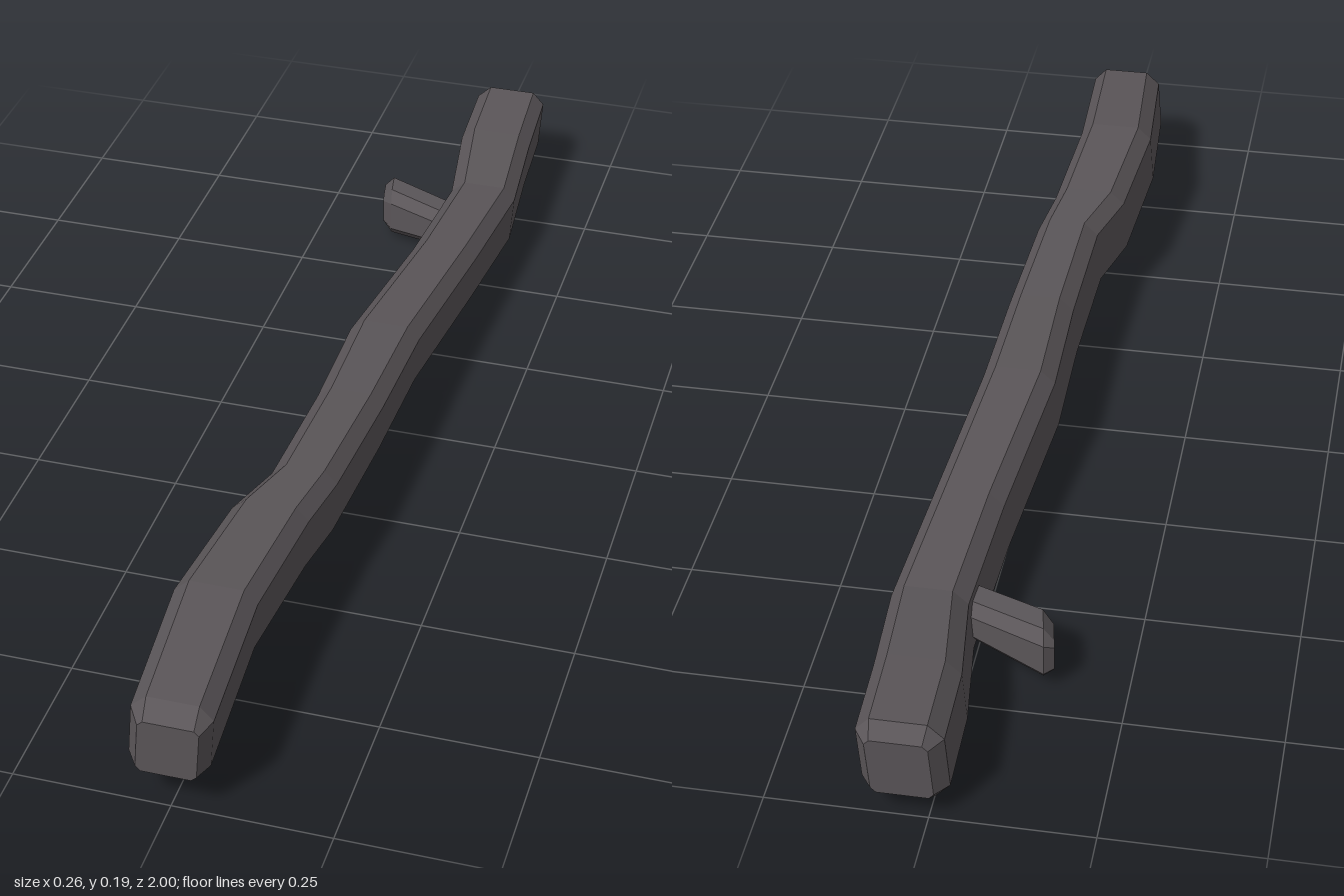
import * as THREE from 'three';

const material = new THREE.MeshStandardMaterial({ color: 0x5a5558, flatShading: true, roughness: 0.9 });

// Lofts chamfered-square rings; each section is [along, uMin, uMax, vMin, vMax, chamfer].
// lean shifts u with height, tilt slants the ring along its length.
function loft(name, sections, { lean = 0, tilt = 0 }, place) {
  const positions = [];
  const index = [];
  const n = 8;
  const add = (a, u, v) => positions.push(...place(a, u, v));
  for (const [a, u0, u1, v0, v1, c] of sections) {
    const cu = (u0 + u1) / 2;
    const cv = (v0 + v1) / 2;
    const ring = [
      [u0 + c, v0], [u1 - c, v0], [u1, v0 + c], [u1, v1 - c],
      [u1 - c, v1], [u0 + c, v1], [u0, v1 - c], [u0, v0 + c],
    ];
    for (const [u, v] of ring) add(a + tilt * (u - cu), u + lean * (v - cv), v);
  }
  for (let s = 0; s < sections.length - 1; s++) {
    for (let i = 0; i < n; i++) {
      const p = s * n + i;
      const q = s * n + (i + 1) % n;
      index.push(p, q, q + n, p, q + n, p + n);
    }
  }
  // flat end caps
  const last = (sections.length - 1) * n;
  for (let i = 1; i < n - 1; i++) {
    index.push(0, i + 1, i);
    index.push(last, last + i, last + i + 1);
  }
  const geometry = new THREE.BufferGeometry();
  geometry.setAttribute('position', new THREE.Float32BufferAttribute(positions, 3));
  geometry.setIndex(index);
  geometry.computeVertexNormals();
  const mesh = new THREE.Mesh(geometry, material);
  mesh.name = name;
  return mesh;
}

export function createModel() {
  const group = new THREE.Group();
  group.name = 'stick';

  // main crooked stick, back to front
  group.add(loft('trunk', [
    [-1.0, -0.005, 0.09, 0.04, 0.14, 0.008],
    [-0.975, -0.025, 0.108, 0.025, 0.16, 0.023],
    [-0.82, -0.02, 0.115, 0.017, 0.15, 0.023],
    [-0.64, 0.005, 0.128, 0.002, 0.135, 0.023],
    [-0.4, -0.007, 0.112, 0.017, 0.147, 0.023],
    [-0.08, -0.036, 0.088, 0.039, 0.17, 0.023],
    [0.14, -0.032, 0.083, 0.041, 0.175, 0.023],
    [0.38, -0.038, 0.072, 0.044, 0.184, 0.023],
    [0.49, -0.07, 0.058, 0.05, 0.188, 0.023],
    [0.72, -0.088, 0.046, 0.065, 0.197, 0.023],
    [0.97, -0.07, 0.058, 0.046, 0.18, 0.023],
    [1.0, -0.05, 0.045, 0.06, 0.157, 0.008],
  ], { lean: 0.08 }, (a, u, v) => [u, v, a]));

  // short side twig, growing towards -x
  group.add(loft('twig', [
    [-0.04, -0.625, -0.545, 0.03, 0.1, 0.018],
    [0.11, -0.69, -0.605, 0.01, 0.105, 0.02],
    [0.128, -0.68, -0.625, 0.027, 0.085, 0.008],
  ], { tilt: -0.18 }, (a, u, v) => [-a, v, u]));

  return group;
}
